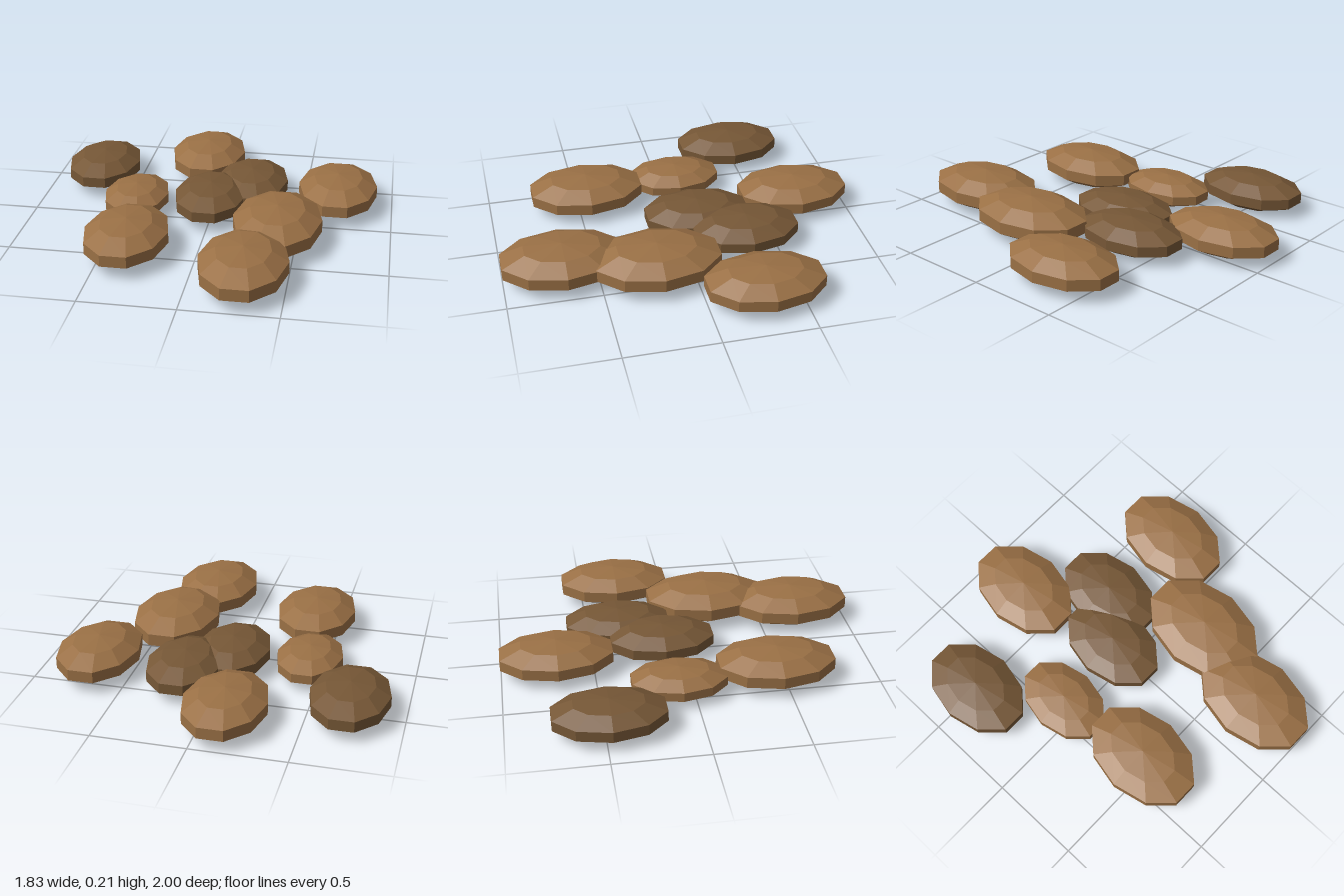
import * as THREE from 'three';

export function createModel() {
  const group = new THREE.Group();
  group.name = 'steppingStones';

  const lightBrown = new THREE.MeshStandardMaterial({ color: 0x9a7045 });
  lightBrown.name = 'lightBrown';
  const darkBrown = new THREE.MeshStandardMaterial({ color: 0x765736 });
  darkBrown.name = 'darkBrown';

  // Faceted pebble: ten sides, five bands, split into flat faces
  const pebble = new THREE.SphereGeometry(1, 10, 5).toNonIndexed();
  pebble.computeVertexNormals();

  // Centre x, centre z, width radius, colour; depth and height follow the width
  const stones = [
    [-0.71, -0.475, 0.219, darkBrown],
    [-0.115, -0.70, 0.229, lightBrown],
    [0.195, -0.335, 0.216, darkBrown],
    [0.69, -0.305, 0.232, lightBrown],
    [-0.43, -0.08, 0.189, lightBrown],
    [-0.01, -0.113, 0.214, darkBrown],
    [-0.37, 0.45, 0.235, lightBrown],
    [0.397, 0.20, 0.252, lightBrown],
    [0.278, 0.68, 0.243, lightBrown],
  ];

  stones.forEach(([x, z, r, material], i) => {
    const stone = new THREE.Mesh(pebble, material);
    stone.name = `stone${i + 1}`;
    const height = r * 0.425;
    stone.scale.set(r, height, r * 1.46);
    stone.position.set(x, height + 0.002, z);
    group.add(stone);
  });

  return group;
}
